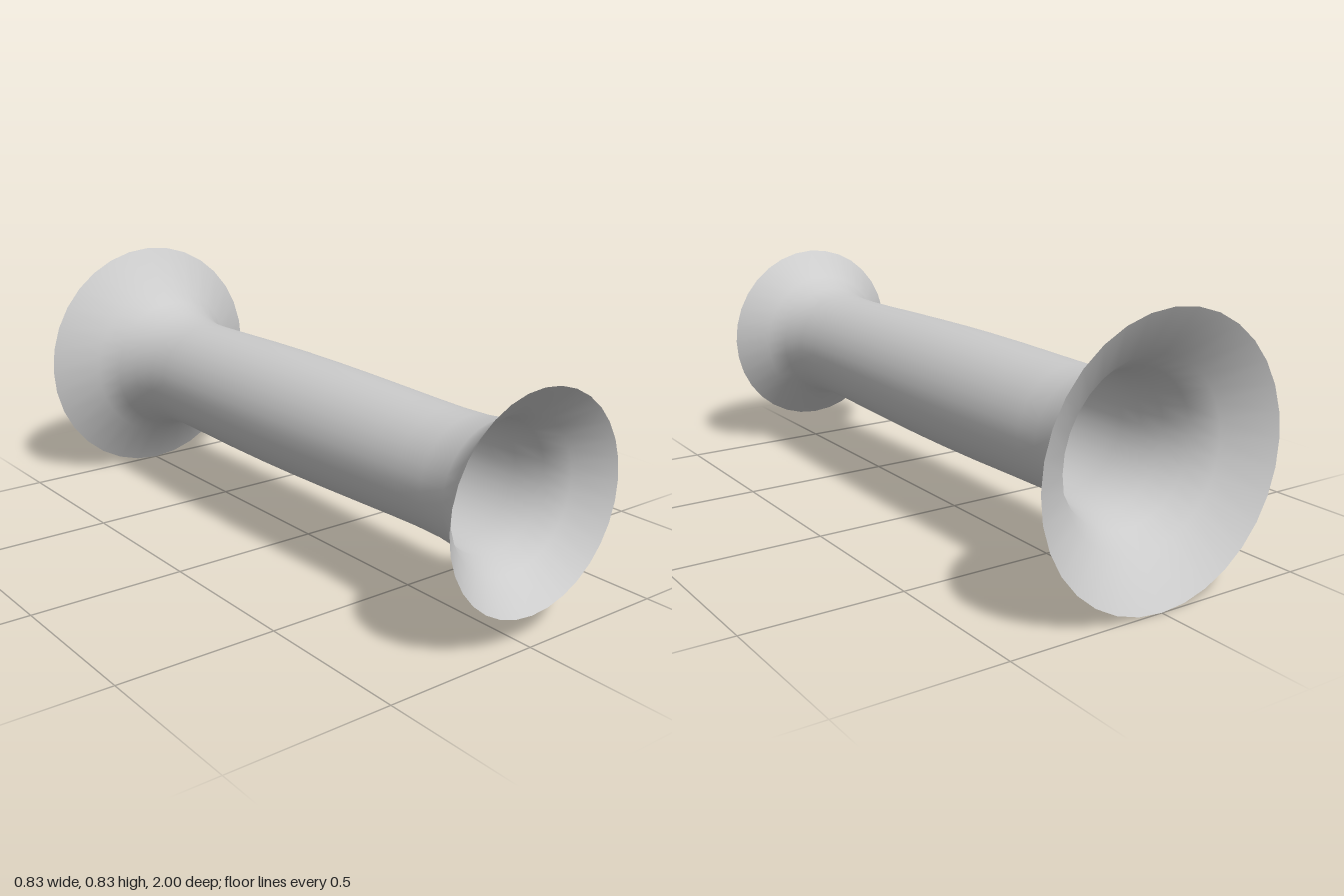
import * as THREE from 'three';

export function createModel() {
  const group = new THREE.Group();
  const material = new THREE.MeshStandardMaterial({ color: 0xcccccc, side: THREE.DoubleSide });

  // Profile as [radius, z], from the wide back bell to the small front bell
  const profile = [
    [0.415, -1], [0.277, -0.91], [0.231, -0.84], [0.204, -0.76], [0.192, -0.68],
    [0.190, -0.6], [0.192, -0.45], [0.195, -0.28], [0.196, -0.1], [0.195, 0.05],
    [0.192, 0.22], [0.188, 0.38], [0.184, 0.53], [0.182, 0.64], [0.184, 0.74],
    [0.195, 0.84], [0.231, 0.91], [0.32, 1],
  ].map(([r, z]) => new THREE.Vector2(r, z));

  // Thin open tube turned around the z axis
  const geometry = new THREE.LatheGeometry(profile, 32).rotateX(Math.PI / 2);
  const tube = new THREE.Mesh(geometry, material);
  tube.name = 'flaredTube';
  tube.position.y = 0.415;
  group.add(tube);
  return group;
}
